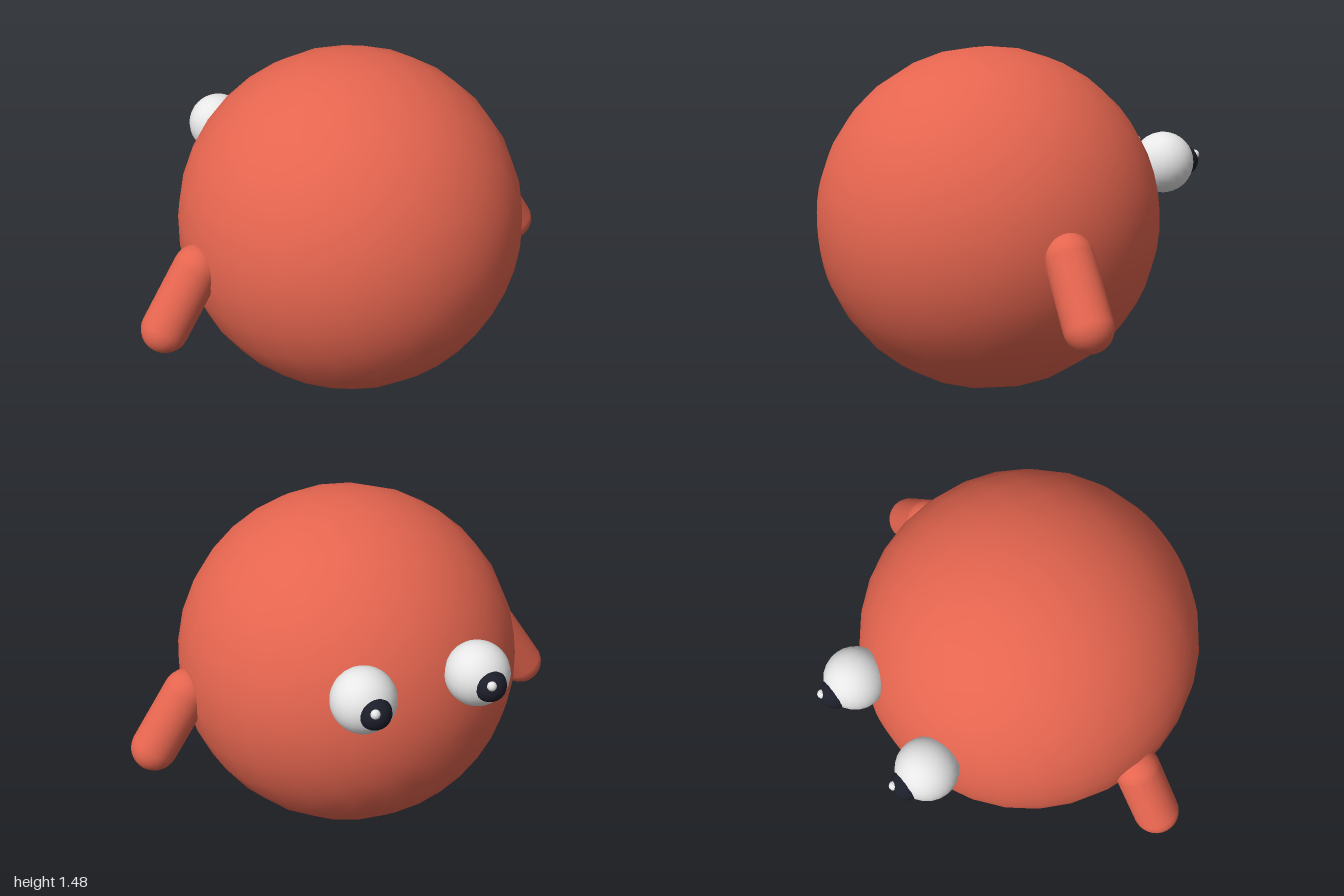
import * as THREE from 'three';

const coral = new THREE.MeshStandardMaterial({ color: 0xe5654f });
coral.name = 'coral skin';
const white = new THREE.MeshStandardMaterial({ color: 0xf0f0f0 });
white.name = 'eye white';
const black = new THREE.MeshStandardMaterial({ color: 0x1c1e2a });
black.name = 'pupil black';

function ball(name, radius, material, x, y, z, segments = 24) {
  const mesh = new THREE.Mesh(new THREE.SphereGeometry(radius, segments, 16), material);
  mesh.name = name;
  mesh.position.set(x, y, z);
  return mesh;
}

// Capsule limb hanging from the shoulder point to the hand point
function createArm(name, side) {
  const shoulder = new THREE.Vector3(side * 0.74, 0.72, 0.08);
  const hand = new THREE.Vector3(side * 0.9, 0.48, 0.08);
  const axis = shoulder.clone().sub(hand);
  const arm = new THREE.Mesh(new THREE.CapsuleGeometry(0.1, axis.length(), 8, 24), coral);
  arm.name = name;
  arm.position.copy(shoulder).add(hand).multiplyScalar(0.5);
  arm.quaternion.setFromUnitVectors(new THREE.Vector3(0, 1, 0), axis.normalize());
  return arm;
}

// Eyeball with a bulging pupil and a small highlight bead
function createEye(name, x) {
  const eye = new THREE.Group();
  eye.name = name;
  eye.position.set(x, 0.972, -0.65);
  eye.add(
    ball('eyeball', 0.133, white, 0, 0, 0),
    ball('pupil', 0.067, black, 0, 0, -0.103),
    ball('glint', 0.02, white, 0.02, 0.027, -0.152, 12)
  );
  return eye;
}

export function createModel() {
  const model = new THREE.Group();
  model.name = 'roundCreature';

  // Round body, poles along z
  const body = ball('body', 0.742, coral, 0, 0.744, 0.08, 30);
  body.geometry.rotateY(Math.PI / 2);
  body.geometry.rotateX(Math.PI / 2);
  model.add(body);

  for (const side of [1, -1]) {
    const label = side > 0 ? 'left' : 'right';
    model.add(createArm(label + 'Arm', side));
    model.add(createEye(label + 'Eye', side * 0.248));
  }
  return model;
}
